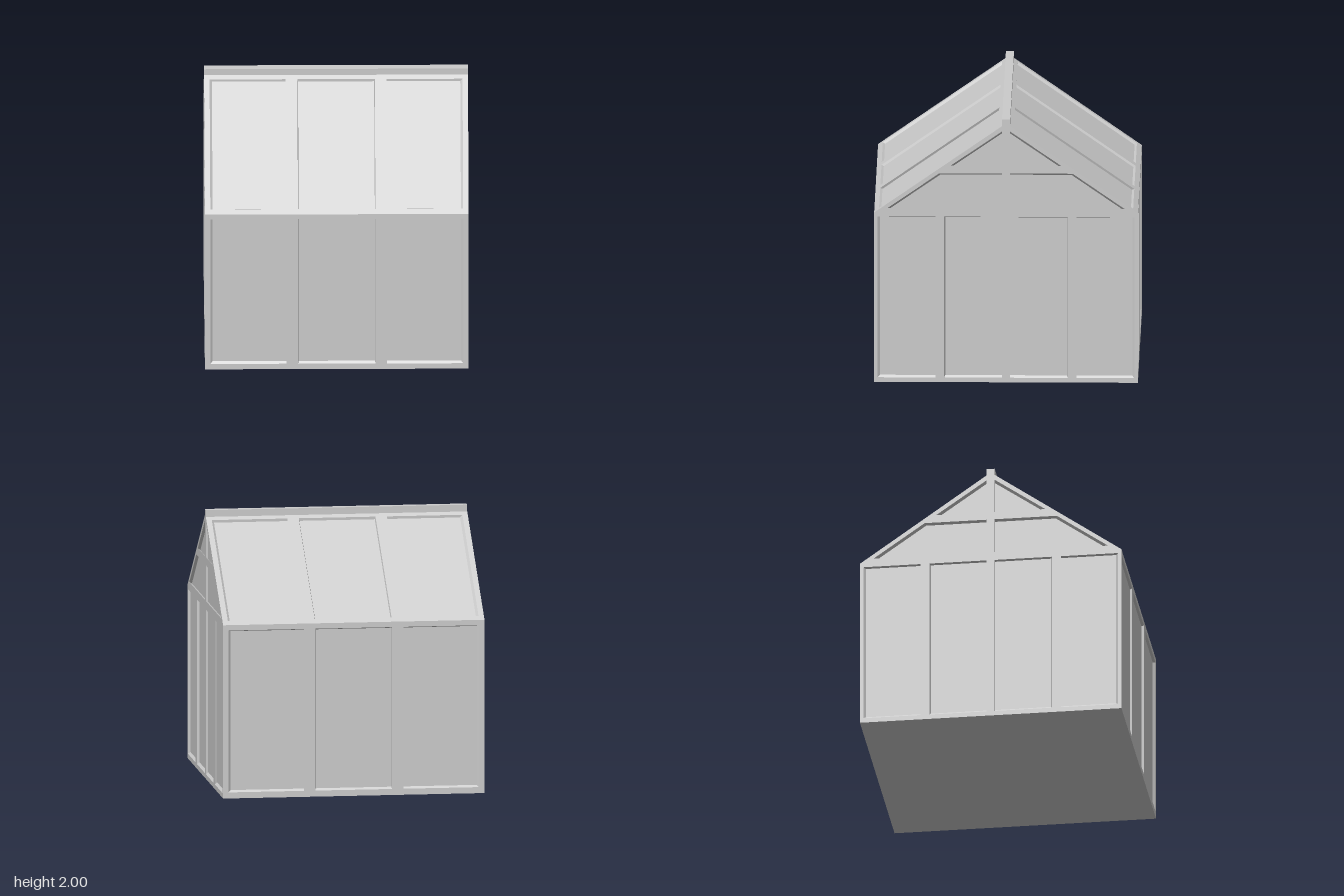
import * as THREE from 'three';
import { mergeGeometries } from 'three/addons/utils/BufferGeometryUtils.js';

const HALF = 0.97, EAVE = 1.29, RIDGE_Z = 0.03, ROOF_TOP = 1.95;
const CENTRE = new THREE.Vector3(0, 0.85, 0), INSET = 0.982;

const material = new THREE.MeshStandardMaterial({ color: 0xcccccc, flatShading: true });

const rect = (u0, v0, u1, v1) => [[u0, v0], [u1, v0], [u1, v1], [u0, v1]];
const mirrored = (points) => points.map(([u, v]) => [-u, v]).reverse();
const withMirror = (list) => list.concat(list.map(mirrored));
const vec2 = (points) => points.map(([u, v]) => new THREE.Vector2(u, v));

// Glass surfaces sit inside the frame, shrunk towards the middle of the house
const recess = (p) => p.sub(CENTRE).multiplyScalar(INSET).add(CENTRE);

// Flat shape placed in space by a rule (u, v) -> Vector3
function placed(shape, place) {
  const geo = new THREE.ShapeGeometry(shape).toNonIndexed();
  const pos = geo.attributes.position;
  for (let i = 0; i < pos.count; i++) {
    const p = place(pos.getX(i), pos.getY(i));
    pos.setXYZ(i, p.x, p.y, p.z);
  }
  geo.deleteAttribute('uv');
  geo.computeVertexNormals();
  return geo;
}

// Sloping sides of one opening, from the frame down to the glass
function reveal(points, place) {
  const out = [];
  points.forEach((p, i) => {
    const q = points[(i + 1) % points.length];
    const a = place(...p), b = place(...q);
    const c = recess(b.clone()), d = recess(a.clone());
    [a, b, c, a, c, d].forEach((v) => out.push(v.x, v.y, v.z));
  });
  const geo = new THREE.BufferGeometry();
  geo.setAttribute('position', new THREE.Float32BufferAttribute(out, 3));
  geo.computeVertexNormals();
  return geo;
}

// One side of the house: frame with openings, plus the panes behind it
function framedSide(name, outline, openings, place) {
  const side = new THREE.Group();
  side.name = name;
  const shape = new THREE.Shape(vec2(outline));
  shape.holes = openings.map((o) => new THREE.Path(vec2(o)));
  const frame = new THREE.Mesh(
    mergeGeometries([placed(shape, place), ...openings.map((o) => reveal(o, place))]), material);
  frame.name = name + 'Frame';
  side.add(frame);
  openings.forEach((o, i) => {
    const pane = new THREE.Mesh(
      placed(new THREE.Shape(vec2(o)), (u, v) => recess(place(u, v))), material);
    pane.name = name + 'Pane' + (i + 1);
    side.add(pane);
  });
  return side;
}

export function createModel() {
  const model = new THREE.Group();
  model.name = 'greenhouse';
  const columns = [[-0.93, -0.37], [-0.285, 0.285], [0.37, 0.93]];

  // Gable openings on one half, mirrored to the other
  const gableOpenings = withMirror([
    rect(0.03, 0.035, 0.455, 1.26),
    rect(0.52, 0.035, 0.945, 1.26),
    [[0.03, 1.325], [0.87, 1.325], [0.49, 1.59], [0.03, 1.59]],
    [[0.03, 1.65], [0.405, 1.65], [0.03, 1.91]],
  ]);
  const gableOutline = [[-HALF, 0], [HALF, 0], [HALF, EAVE], [RIDGE_Z, ROOF_TOP],
    [-RIDGE_Z, ROOF_TOP], [-HALF, EAVE]];
  const roofZ = (y) => HALF - (y - EAVE) * (HALF - RIDGE_Z) / (ROOF_TOP - EAVE);

  // Each half has a long wall, a roof slope and a gable; the other half is turned round
  ['front', 'back'].forEach((label, i) => {
    const half = new THREE.Group();
    half.name = label + 'Half';
    half.rotation.y = i * Math.PI;
    half.add(
      framedSide(label + 'Wall', rect(-HALF, 0, HALF, EAVE),
        columns.map(([a, b]) => rect(a, 0.045, b, 1.25)),
        (u, v) => new THREE.Vector3(u, v, HALF)),
      framedSide(label + 'Roof', rect(-HALF, EAVE, HALF, ROOF_TOP),
        columns.map(([a, b]) => rect(a, 1.315, b, 1.93)),
        (u, v) => new THREE.Vector3(u, v, roofZ(v))),
      framedSide(i ? 'rightGable' : 'leftGable', gableOutline, gableOpenings,
        (u, v) => new THREE.Vector3(HALF, v, -u)),
    );
    model.add(half);
  });

  // Ridge beam
  const ridge = new THREE.Mesh(
    new THREE.BoxGeometry(HALF * 2, 2 - ROOF_TOP, RIDGE_Z * 2), material);
  ridge.name = 'ridgeBeam';
  ridge.position.y = (2 + ROOF_TOP) / 2;
  model.add(ridge);

  // Floor closing the underside
  const floor = new THREE.Mesh(new THREE.PlaneGeometry(HALF * 2, HALF * 2), material);
  floor.name = 'floor';
  floor.rotation.x = Math.PI / 2;
  model.add(floor);

  return model;
}
